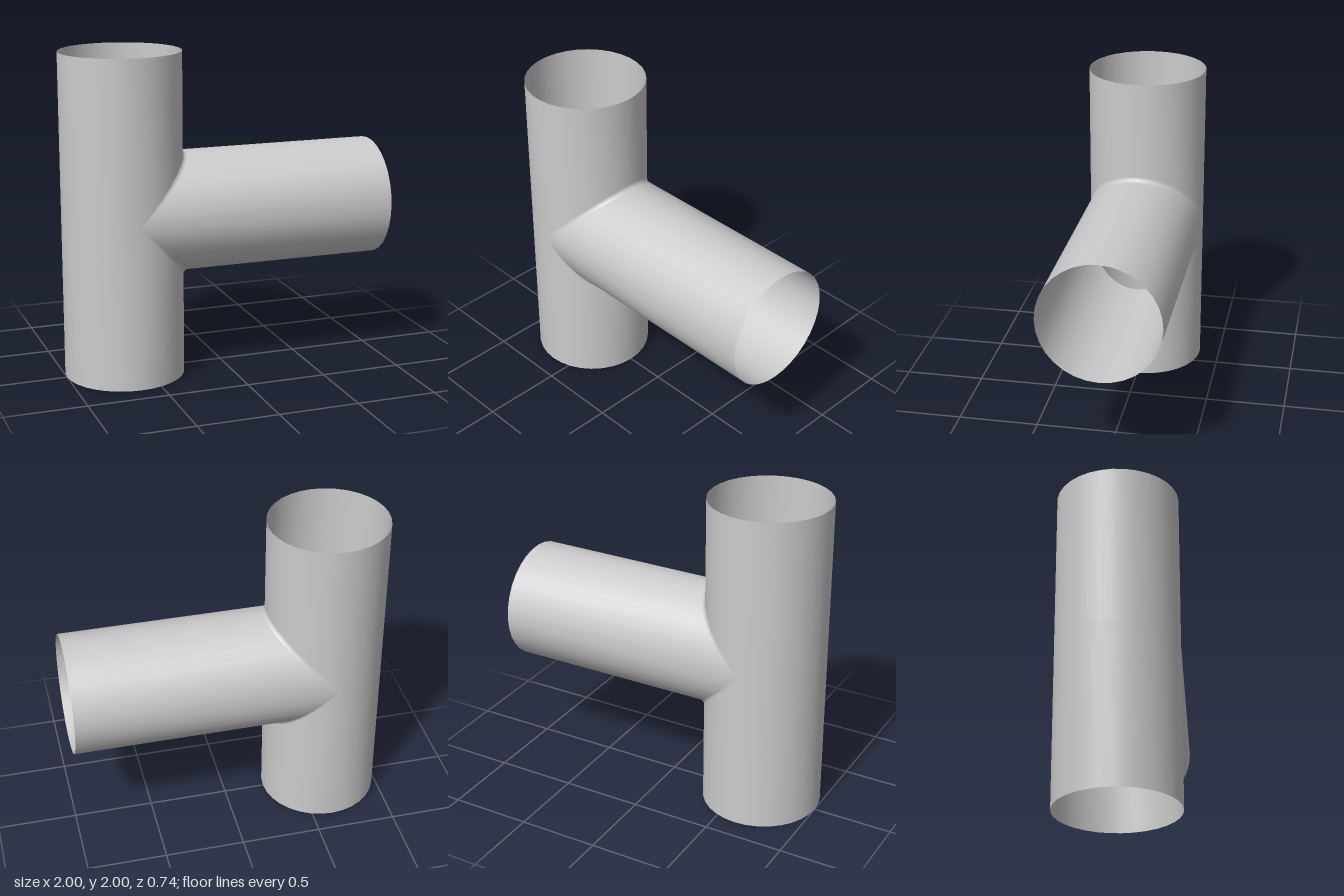
import * as THREE from 'three';
import { mergeVertices } from 'three/addons/utils/BufferGeometryUtils.js';

const R = 0.37;        // radius of both pipes
const AXIS_X = -0.63;  // axis of the upright pipe
const AXIS_Y = 1;      // axis of the side branch
const FILLET = 0.03;   // rounding of the inner corners
const SEGS = 16;       // segments per half circle
const ARC = 5;         // segments across the fillet

// Corner profile at constant z: down the upright, round the fillet, out along the branch.
function cornerProfile(s) {
  const c = Math.max(0, Math.cos(s)), z = R * Math.sin(s);
  const d = R * c, f = FILLET * c;
  const points = [[d, 1, z]];
  for (let k = 0; k <= ARC; k++) {
    const a = (k / ARC) * Math.PI / 2;
    points.push([d + f * (1 - Math.cos(a)), d + f * (1 - Math.sin(a)), z]);
  }
  points.push([1 - AXIS_X, d, z]);
  return points;
}

// Straight line down the far side of the upright.
function backProfile(s) {
  const x = -R * Math.max(0, Math.cos(s)), z = -R * Math.sin(s);
  return [[x, 1, z], [x, 0, z], [x, -1, z]];
}

function createModel() {
  const positions = [], index = [];

  // Skins a half turn of profiles; mirrorY = -1 builds the lower copy.
  function skin(profile, mirrorY = 1) {
    const base = positions.length / 3;
    let n = 0;
    for (let i = 0; i <= SEGS; i++) {
      const row = profile((i / SEGS - 0.5) * Math.PI);
      n = row.length;
      for (const [x, y, z] of row) positions.push(AXIS_X + x, AXIS_Y + mirrorY * y, z);
    }
    for (let i = 0; i < SEGS; i++) {
      for (let j = 0; j < n - 1; j++) {
        const a = base + i * n + j, b = a + n, c = b + 1, d = a + 1;
        if (mirrorY > 0) index.push(a, b, d, b, c, d);
        else index.push(a, d, b, b, d, c);
      }
    }
  }

  skin(cornerProfile);      // upper half of branch and upright
  skin(cornerProfile, -1);  // lower half
  skin(backProfile);        // far side of the upright

  let geometry = new THREE.BufferGeometry();
  geometry.setAttribute('position', new THREE.Float32BufferAttribute(positions, 3));
  geometry.setIndex(index);
  geometry = mergeVertices(geometry, 1e-5);
  geometry.computeVertexNormals();

  // Thin open-ended shell, seen from inside and outside
  const material = new THREE.MeshStandardMaterial({ color: 0xcccccc, side: THREE.DoubleSide });
  const pipe = new THREE.Mesh(geometry, material);
  pipe.name = 'teePipe';

  const group = new THREE.Group();
  group.name = 'pipeTee';
  group.add(pipe);
  return group;
}

export { createModel };
